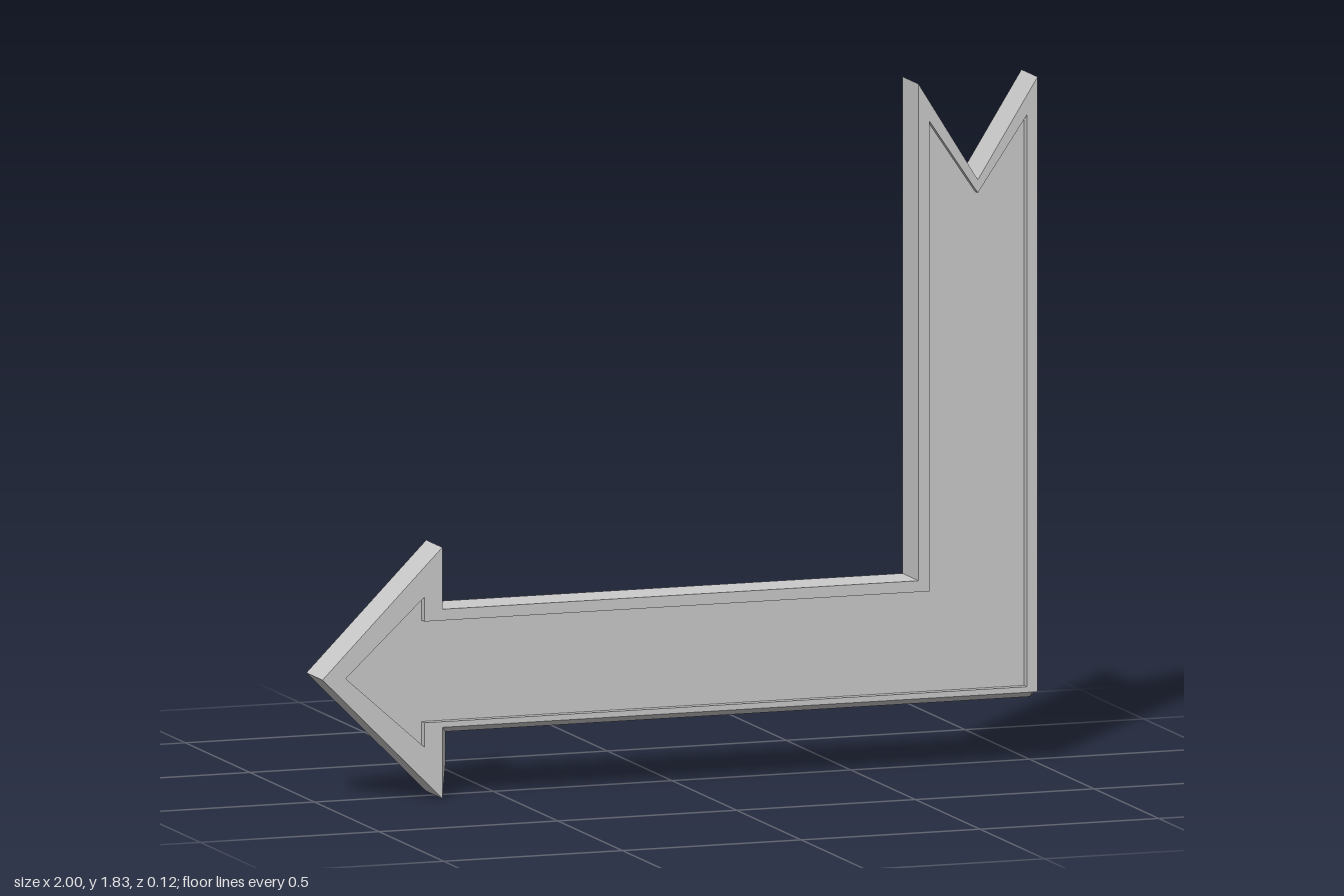
import * as THREE from 'three';

const HALF = 0.0625;    // half thickness
const BEVEL = 0.045;    // half thickness where the underside bevel ends
const RECESS = 0.022;   // depth of the sunken panels

const toPoints = (list) => list.map(([x, y]) => new THREE.Vector2(x, y));

// Bent arrow: pointed head at the left, swallow-tail at the top right
const outer = [
  [-1, 0.335], [-0.665, 0], [-0.65, 0.09], [-0.65, 0.175], [0.985, 0.175], [1, 0.19],
  [1, 1.83], [0.833, 1.565], [0.667, 1.83], [0.667, 0.505], [-0.665, 0.505], [-0.665, 0.67],
];
const inner = [
  [-0.935, 0.335], [-0.715, 0.14], [-0.715, 0.205], [0.97, 0.205], [0.97, 1.73],
  [0.833, 1.53], [0.697, 1.73], [0.697, 0.475], [-0.715, 0.475], [-0.715, 0.54],
];

// Raised rim, with its lower edges drawn in towards both faces as a bevel
function rimGeometry() {
  const shape = new THREE.Shape(toPoints(outer));
  shape.holes.push(new THREE.Path(toPoints(inner)));
  const geo = new THREE.ExtrudeGeometry(shape, { depth: 2 * HALF, steps: 3, bevelEnabled: false });
  geo.translate(0, 0, -HALF);
  const p = geo.attributes.position;
  for (let i = 0; i < p.count; i++) {
    const z = p.getZ(i);
    if (Math.abs(z) < HALF * 0.9) {
      p.setZ(i, Math.sign(z) * BEVEL);
    } else {
      if (Math.abs(p.getY(i) - 0.175) < 0.001) p.setY(i, 0.19);
      if (Math.abs(p.getX(i) + 0.65) < 0.001) p.setX(i, -0.665);
    }
  }
  geo.computeVertexNormals();
  return geo;
}

export function createModel() {
  const group = new THREE.Group();
  group.name = 'bentArrowSign';
  const material = new THREE.MeshStandardMaterial({ color: 0xcccccc });

  const rim = new THREE.Mesh(rimGeometry(), material);
  rim.name = 'rim';
  group.add(rim);

  // Sunken panels on the front and back
  const panelShape = new THREE.Shape(toPoints(inner));
  for (const side of [1, -1]) {
    const geo = new THREE.ShapeGeometry(panelShape);
    if (side < 0) {
      // Reverse the winding so the panel faces backwards
      geo.index.array.reverse();
      geo.computeVertexNormals();
    }
    const panel = new THREE.Mesh(geo, material);
    panel.name = side > 0 ? 'frontPanel' : 'backPanel';
    panel.position.z = side * (HALF - RECESS);
    group.add(panel);
  }
  return group;
}
